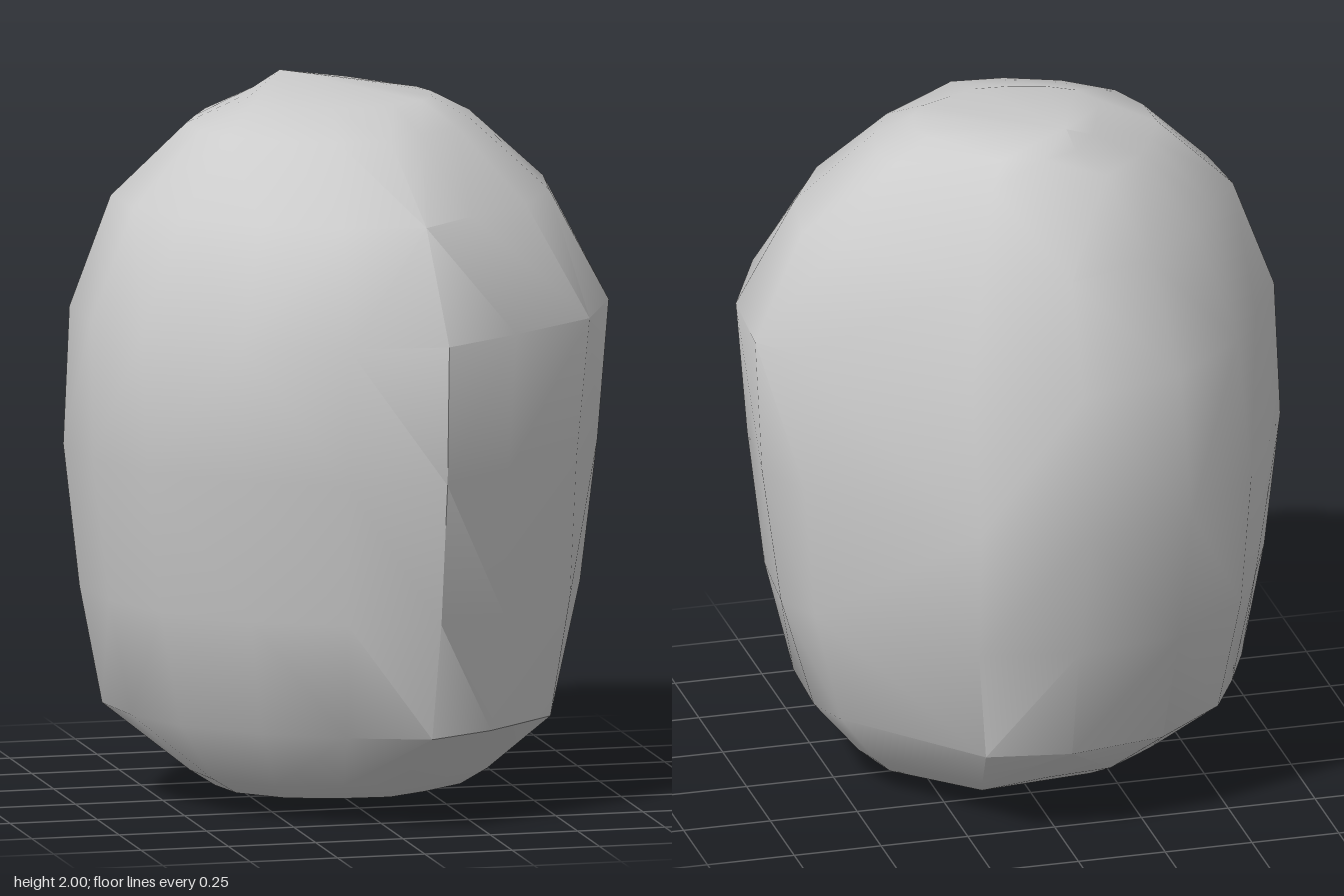
import * as THREE from 'three';
import { toCreasedNormals } from 'three/addons/utils/BufferGeometryUtils.js';

// Widest outline seen from above (x, z), from the back round by +x
const OUTLINE = [
  [-0.02, -0.81], [0.27, -0.69], [0.66, -0.26], [0.755, -0.12], [0.735, 0.17], [0.61, 0.45],
  [0.35, 0.65], [0.12, 0.805], [-0.16, 0.77], [-0.44, 0.65], [-0.67, 0.42], [-0.75, 0.16],
  [-0.755, -0.1], [-0.66, -0.31], [-0.56, -0.51], [-0.33, -0.73],
];

// Level: y, reach to -x, +x, -z, +z,
// then the bulge of the corners (+x+z), (-x+z), (+x-z), (-x-z)
const LEVELS = [
  [0.05, 0.36, 0.35, 0.29, 0.37, 0.02, 0.03, 0.10, 0.02],
  [0.10, 0.43, 0.42, 0.38, 0.45, 0.03, 0.05, 0.08, 0.03],
  [0.27, 0.65, 0.56, 0.62, 0.70, 0.07, -0.06, 0.08, 0.02],
  [0.60, 0.71, 0.66, 0.69, 0.76, 0.03, -0.04, 0.07, 0.03],
  [1.00, 0.76, 0.73, 0.81, 0.81, -0.02, -0.04, 0.03, 0],
  [1.39, 0.75, 0.755, 0.73, 0.805, 0, 0, 0, -0.02],
  [1.70, 0.64, 0.61, 0.63, 0.66, -0.05, -0.06, 0.01, -0.04],
  [1.90, 0.42, 0.38, 0.42, 0.38, -0.02, -0.01, 0.05, 0],
  [1.96, 0.25, 0.27, 0.36, 0.17, 0, 0, 0.04, 0],
];

function levelPoint([y, left, right, back, front, ...bulges], [x, z]) {
  const u = x / 0.755, v = z / 0.808;
  const p = new THREE.Vector3(u * (u < 0 ? left : right), 0, v * (v < 0 ? back : front));
  // Bulge is full on the diagonals and fades out towards the axes
  const weight = 2 * Math.abs(u * v) / (u * u + v * v);
  const corner = (u < 0 ? 1 : 0) + (v < 0 ? 2 : 0);
  p.setLength(p.length() + weight * bulges[corner]);
  return p.setY(y);
}

function rockGeometry() {
  const n = OUTLINE.length;
  const points = LEVELS.flatMap((level) => OUTLINE.map((o) => levelPoint(level, o)));
  const bottom = points.push(new THREE.Vector3(0, 0, 0.02)) - 1;
  const top = points.push(new THREE.Vector3(-0.1, 2, -0.26)) - 1;

  const index = [];
  const last = (LEVELS.length - 1) * n;
  for (let i = 0; i < n; i++) {
    const j = (i + 1) % n;
    for (let r = 0; r < last; r += n) {
      const a = r + i, b = r + j, c = a + n, d = b + n;
      // Split each quad along the diagonal that bulges outwards
      const [pa, pb, pc, pd] = [a, b, c, d].map((k) => points[k]);
      const plane = new THREE.Plane().setFromCoplanarPoints(pa, pc, pb);
      if (plane.distanceToPoint(pd) < 0) index.push(a, c, b, b, c, d);
      else index.push(a, c, d, a, d, b);
    }
    index.push(bottom, i, j, top, last + j, last + i);
  }
  const geometry = new THREE.BufferGeometry().setFromPoints(points);
  geometry.setIndex(index);
  return toCreasedNormals(geometry, THREE.MathUtils.degToRad(41));
}

export function createModel() {
  const group = new THREE.Group();
  group.name = 'boulder';
  const rock = new THREE.Mesh(rockGeometry(), new THREE.MeshStandardMaterial({ color: 0xcccccc }));
  rock.name = 'rock';
  group.add(rock);
  return group;
}
